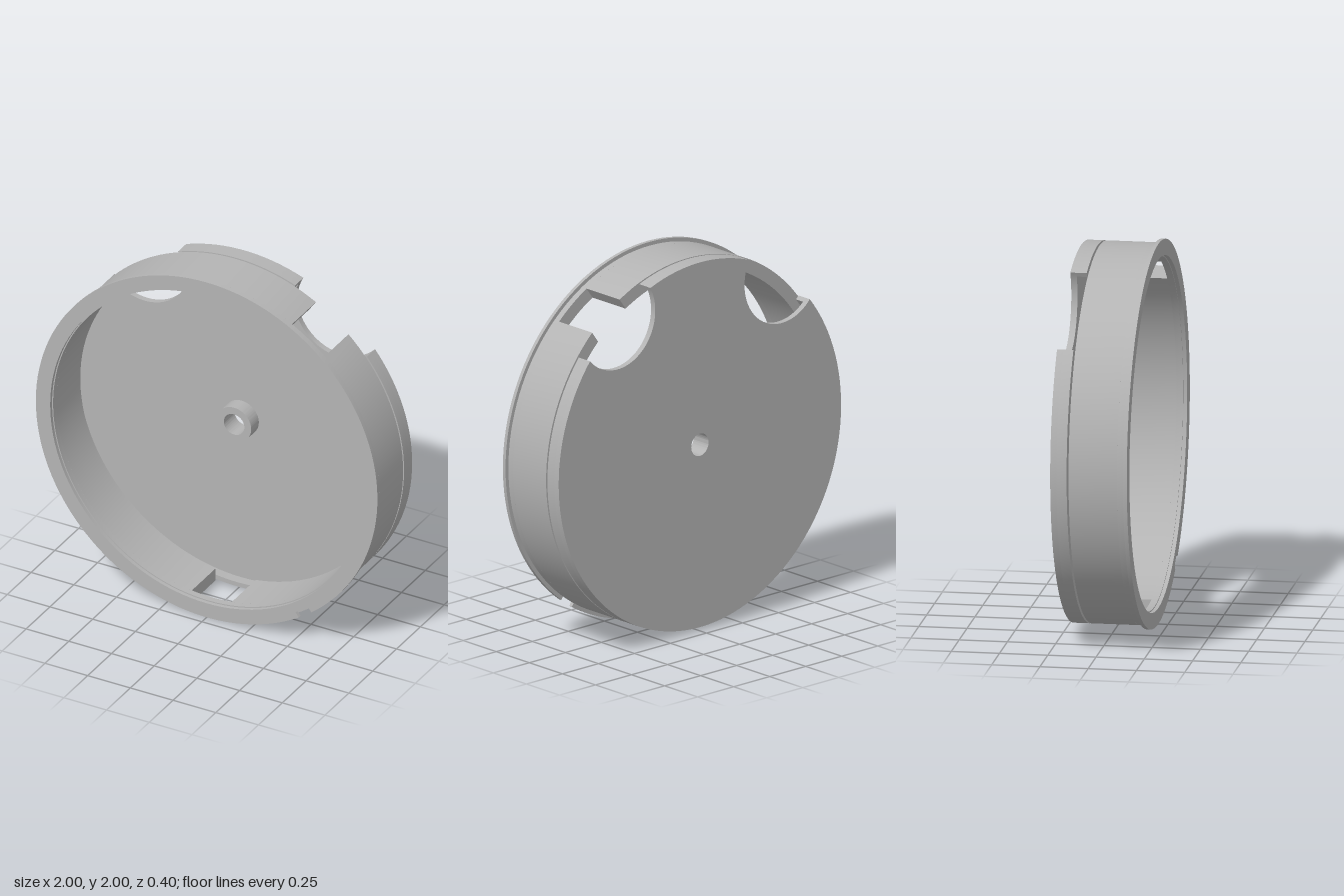
import * as THREE from 'three';
import { toCreasedNormals } from 'three/addons/utils/BufferGeometryUtils.js';

export function createModel() {
  const model = new THREE.Group();
  model.name = 'roundCase';
  const grey = new THREE.MeshStandardMaterial({ color: 0xb4b4b4 });
  grey.name = 'grey';
  const TAU = Math.PI * 2;
  const rad = THREE.MathUtils.degToRad;
  const polar = (r, a) => new THREE.Vector2(r * Math.cos(a), r * Math.sin(a));

  // points along an arc from a0 to a1
  function arc(r, a0, a1, cx = 0, cy = 0) {
    const n = Math.max(2, Math.ceil(Math.abs(a1 - a0) / TAU * 128));
    return Array.from({ length: n + 1 }, (_, i) => {
      const p = polar(r, a0 + (a1 - a0) * i / n);
      return p.set(p.x + cx, p.y + cy);
    });
  }

  // extrude a flat shape between two depths
  function slab(name, shape, z0, z1, parent) {
    let geo = new THREE.ExtrudeGeometry(shape, { depth: z1 - z0, bevelEnabled: false });
    geo.translate(0, 0, z0);
    geo = toCreasedNormals(geo, 0.4);
    const mesh = new THREE.Mesh(geo, grey);
    mesh.name = name;
    parent.add(mesh);
  }

  function annulus(ri, outline) {
    const shape = new THREE.Shape(outline);
    shape.holes.push(new THREE.Path(arc(ri, TAU, 0).slice(0, -1)));
    return shape;
  }
  const circle = (r) => arc(r, 0, TAU).slice(0, -1);

  // ring section between two gaps; trim(r) is the half angle of a gap at radius r
  function sector(ri, ro, a0, a1, trim) {
    return new THREE.Shape([
      ...arc(ro, a0 + trim(ro), a1 - trim(ro)),
      ...arc(ri, a1 - trim(ri), a0 + trim(ri)),
    ]);
  }

  // front ring: slotted wall with two rectangular windows open to the back
  const ring = new THREE.Group();
  ring.name = 'frontRing';
  model.add(ring);
  const slotTrim = (r) => Math.asin(0.117 / r);
  const slotA = rad(54.5), slotB = rad(-90);
  slab('ringWallRight', sector(0.91, 0.98, slotB, slotA, slotTrim), -0.105, 0.145, ring);
  slab('ringWallLeft', sector(0.91, 0.98, slotA, slotB + TAU, slotTrim), -0.105, 0.145, ring);
  slab('ringCollar', annulus(0.91, circle(0.98)), 0.145, 0.18, ring);

  // flange with a small locating notch in its edge
  const notch = rad(-54.8), w = 0.045;
  const oTrim = Math.asin(w / 1), iTrim = Math.asin(w / 0.968);
  const flangeEdge = [
    ...arc(1, notch + oTrim, notch + TAU - oTrim),
    polar(0.968, notch - iTrim),
    polar(0.968, notch + iTrim),
  ];
  slab('flange', annulus(0.916, flangeEdge), 0.18, 0.2, ring);

  // back cover: plate with two round bites, raised rim and hollow hub
  const cover = new THREE.Group();
  cover.name = 'backCover';
  model.add(cover);
  const R = 0.98, d = 0.974, bite = 0.26;
  const biteR = rad(54.2), biteL = Math.PI - biteR;
  const biteTrim = (r) => Math.acos((r * r + d * d - bite * bite) / (2 * r * d));

  // inward curve of one bite, walked counter-clockwise around the plate
  function biteCurve(a) {
    const c = polar(d, a), t = biteTrim(R);
    const p0 = polar(R, a - t).sub(c), p1 = polar(R, a + t).sub(c);
    const s = Math.atan2(p0.y, p0.x);
    let e = Math.atan2(p1.y, p1.x);
    while (e > s) e -= TAU;
    return arc(bite, s, e, c.x, c.y).slice(1, -1);
  }
  const t = biteTrim(R);
  const plate = annulus(0.06, [
    ...arc(R, biteR + t, biteL - t),
    ...biteCurve(biteL),
    ...arc(R, biteL + t, biteR + TAU - t),
    ...biteCurve(biteR),
  ]);
  slab('coverPlate', plate, -0.2, -0.168, cover);
  slab('coverRimTop', sector(0.955, R, biteR, biteL, biteTrim), -0.168, -0.115, cover);
  slab('coverRimMain', sector(0.955, R, biteL, biteR + TAU, biteTrim), -0.168, -0.115, cover);
  slab('hub', annulus(0.06, circle(0.1)), -0.168, -0.088, cover);

  ring.position.y = cover.position.y = 1;
  return model;
}
